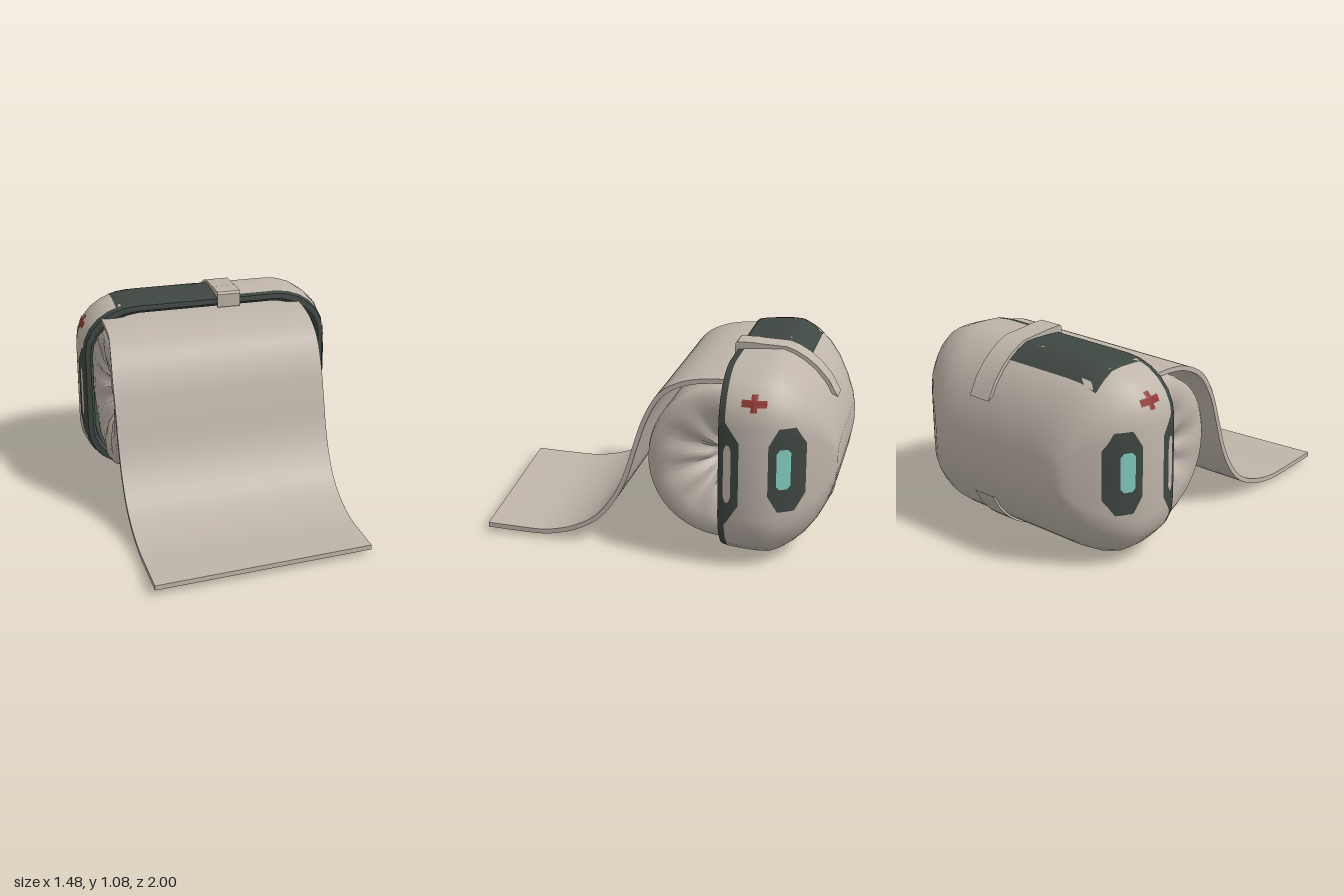
import * as THREE from 'three';
import { mergeVertices, toCreasedNormals } from 'three/addons/utils/BufferGeometryUtils.js';

const mat = (name, color, side = THREE.DoubleSide) => {
  const m = new THREE.MeshStandardMaterial({ color, side });
  m.name = name;
  return m;
};

const MID = 0.535; // height of the case's middle

// Rounded-rectangle section of the case at depth z
function ring(z, w, h) {
  const pts = [], rx = w * 0.42, ry = h * 0.52, N = 6;
  for (let q = 0; q < 4; q++) {
    const sx = q === 0 || q === 3 ? 1 : -1, sy = q < 2 ? 1 : -1;
    for (let i = 0; i <= N; i++) {
      const a = (q + i / N) * Math.PI / 2;
      pts.push([sx * (w - rx) + rx * Math.cos(a), MID + sy * (h - ry) + ry * Math.sin(a), z]);
    }
  }
  return pts;
}

// Skin over a list of [z, halfWidth, halfHeight] sections
function loft(sections, capStart, capEnd) {
  const rings = sections.map(s => ring(...s)), n = rings[0].length;
  const pos = rings.flat(2), idx = [];
  for (let r = 0; r < rings.length - 1; r++) {
    for (let i = 0; i < n; i++) {
      const a = r * n + i, b = r * n + (i + 1) % n;
      idx.push(a, a + n, b, b, a + n, b + n);
    }
  }
  const cap = (r, flip) => {
    const c = pos.length / 3;
    pos.push(0, MID, sections[r][0]);
    for (let i = 0; i < n; i++) {
      const a = r * n + i, b = r * n + (i + 1) % n;
      flip ? idx.push(c, b, a) : idx.push(c, a, b);
    }
  };
  if (capStart) cap(0, false);
  if (capEnd) cap(rings.length - 1, true);
  const g = new THREE.BufferGeometry();
  g.setAttribute('position', new THREE.Float32BufferAttribute(pos, 3));
  g.setIndex(idx);
  return toCreasedNormals(g, 0.6);
}

export function createModel() {
  const group = new THREE.Group();
  const cream = mat('warm grey', 0xbfb5aa);
  const dark = mat('dark green grey', 0x3f4742);
  const teal = mat('teal', 0x84cdbf);
  const red = mat('red', 0x8f3632);
  const add = (name, geo, material) => {
    const m = new THREE.Mesh(geo, material);
    m.name = name;
    group.add(m);
    return m;
  };

  // Case: rounded shell, with a dark lining and rim
  const outer = [
    [-0.455, 0.728, 0.509], [-0.53, 0.738, 0.514], [-0.6, 0.74, 0.518], [-0.67, 0.728, 0.52], [-0.72, 0.71, 0.502],
    [-0.78, 0.675, 0.468], [-0.84, 0.63, 0.42], [-0.9, 0.565, 0.35], [-0.95, 0.5, 0.26], [-0.985, 0.455, 0.16], [-1, 0.42, 0.08],
  ];
  const shell = add('caseShell', loft(outer, false, true), cream);
  const rim = add('caseRimAndLining', loft([
    [-0.8, 0.61, 0.4], [-0.7, 0.665, 0.455], [-0.46, 0.67, 0.455], [-0.425, 0.675, 0.46],
    [-0.415, 0.69, 0.475], [-0.42, 0.718, 0.503], [-0.455, 0.728, 0.509],
  ], true, false), dark);

  // Thin painted plates, laid on the case along one axis
  const ray = new THREE.Raycaster();
  group.updateMatrixWorld(true);
  function decal(name, axis, sign, outline, material, lift = 0.004) {
    const line = [], SUB = 6, RINGS = 6;
    outline.forEach((p, i) => {
      const q = outline[(i + 1) % outline.length];
      for (let k = 0; k < SUB; k++) line.push([p[0] + (q[0] - p[0]) * k / SUB, p[1] + (q[1] - p[1]) * k / SUB]);
    });
    const n = line.length;
    const c = [0, 1].map(j => line.reduce((s, p) => s + p[j], 0) / n);
    const dir = new THREE.Vector3(axis === 'x' ? -sign : 0, axis === 'y' ? -sign : 0, 0);
    const pos = [], idx = [];
    for (let r = 0; r <= RINGS; r++) {
      for (const p of line) {
        const u = c[0] + (p[0] - c[0]) * r / RINGS, v = c[1] + (p[1] - c[1]) * r / RINGS;
        const o = axis === 'x' ? new THREE.Vector3(sign * 3, u, v) : new THREE.Vector3(u, sign * 3, v);
        ray.set(o, dir);
        const hit = ray.intersectObjects([shell, rim])[0];
        const s = hit ? hit.point : o.setComponent(axis === 'x' ? 0 : 1, axis === 'x' ? sign * 0.7 : MID + sign * 0.5);
        s.addScaledVector(dir, -lift);
        pos.push(s.x, s.y, s.z);
      }
    }
    for (let r = 0; r < RINGS; r++) {
      for (let i = 0; i < n; i++) {
        const a = r * n + i, b = r * n + (i + 1) % n;
        idx.push(a, a + n, b, b, a + n, b + n);
      }
    }
    const g = new THREE.BufferGeometry();
    g.setAttribute('position', new THREE.Float32BufferAttribute(pos, 3));
    g.setIndex(idx);
    g.computeVertexNormals();
    add(name, g, material);
  }
  const rect = (u0, u1, v0, v1) => [[u0, v0], [u1, v0], [u1, v1], [u0, v1]];
  const chamfer = (u0, u1, v0, v1, cu, cv) => [
    [u0 + cu, v0], [u1 - cu, v0], [u1, v0 + cv], [u1, v1 - cv], [u1 - cu, v1], [u0 + cu, v1], [u0, v1 - cv], [u0, v0 + cv],
  ];
  const cross = (u, v, a, b, t) => [
    [-t, -b], [t, -b], [t, -t], [a, -t], [a, t], [t, t], [t, b], [-t, b], [-t, t], [-a, t], [-a, -t], [-t, -t],
  ].map(p => [u + p[0], v + p[1]]);

  for (const s of [1, -1]) {
    const side = s > 0 ? 'left' : 'right';
    decal(side + 'LampPanel', 'x', s, chamfer(0.33, 0.78, -0.86, -0.68, 0.09, 0.05), dark);
    decal(side + 'Lamp', 'x', s, chamfer(0.455, 0.67, -0.79, -0.722, 0.02, 0.015), teal, 0.009);
    decal(side + 'RimPanel', 'x', s, [[0.25, -0.425], [0.25, -0.46], [0.36, -0.53], [0.7, -0.53], [0.8, -0.46], [0.8, -0.425]], dark);
    decal(side + 'RimPanelInset', 'x', s, chamfer(0.375, 0.685, -0.49, -0.45, 0.03, 0.012), cream, 0.009);
    decal(side + 'RedCross', 'x', s, cross(0.905, -0.6, 0.042, 0.065, 0.017), red);
  }
  decal('topDarkPanel', 'y', 1, rect(-0.525, 0.07, -0.8, -0.43), dark);
  decal('undersideRedCross', 'y', -1, cross(0.35, -0.58, 0.065, 0.05, 0.02), red);

  // Clips: straps over the rim, following the case above and below
  for (const s of [1, -1]) {
    const lift = s > 0 ? 0.024 : 0.014, top = s > 0 ? 0.545 : 0.535;
    const over = [[0.405, top - 0.012], [0.415, top], [0.52, top], [0.535, 0.518 + lift]];
    for (const [z, , h] of outer.slice(3, 9)) over.push([-z + lift * 0.6, h + lift * 0.6]);
    const under = [[0.9, 0.31], [0.75, 0.45], [0.6, 0.49], [0.42, 0.49], [0.42, 0.455], [0.405, 0.455]];
    const shape = new THREE.Shape([...over, ...under].map(p => new THREE.Vector2(p[0], MID + s * p[1])));
    const g = new THREE.ExtrudeGeometry(shape, { depth: 0.135, bevelEnabled: false });
    g.rotateY(Math.PI / 2).translate(0.065, 0, 0);
    add(s > 0 ? 'topClip' : 'bottomClip', toCreasedNormals(g, 0.6), cream);
  }

  // Bandage roll: puckered ends and an open core
  const rollProfile = [
    [0.06, -0.46], [0.1, -0.52], [0.19, -0.585], [0.3, -0.615], [0.38, -0.615], [0.415, -0.59], [0.425, -0.55],
    [0.425, 0.5], [0.415, 0.545], [0.38, 0.57], [0.3, 0.565], [0.19, 0.53], [0.1, 0.46], [0.06, 0.4], [0.06, -0.46],
  ].map(p => new THREE.Vector2(...p));
  let roll = new THREE.LatheGeometry(rollProfile, 48);
  roll.rotateZ(-Math.PI / 2);
  const rp = roll.attributes.position;
  for (let i = 0; i < rp.count; i++) {
    const y = rp.getY(i), z = rp.getZ(i), r = Math.hypot(y, z);
    const fold = r > 0.08 && r < 0.33 ? 0.022 * Math.sin(9 * Math.atan2(y, z)) * (0.35 - r) / 0.25 : 0;
    rp.setXYZ(i, rp.getX(i) + fold, y + 0.515, Math.max(z - 0.425, -0.79));
  }
  roll.deleteAttribute('uv');
  roll.deleteAttribute('normal');
  roll = toCreasedNormals(mergeVertices(roll, 1e-4), 0.9);
  add('bandageRoll', roll, cream);

  // Unrolled bandage strip with a slanted free end
  const path = new THREE.CatmullRomCurve3([
    [-0.5, 0.965], [-0.32, 0.962], [-0.19, 0.935], [-0.08, 0.87], [0, 0.74], [0.06, 0.57], [0.115, 0.4],
    [0.18, 0.27], [0.28, 0.15], [0.42, 0.075], [0.6, 0.035], [0.8, 0.036], [1, 0.043],
  ].map(p => new THREE.Vector3(-p[0], p[1], 0)));
  const upper = [], lower = [];
  for (let i = 0; i <= 44; i++) {
    const p = path.getPoint(i / 44), t = path.getTangent(i / 44);
    upper.push(new THREE.Vector2(p.x + t.y * 0.013, p.y - t.x * 0.013));
    lower.unshift(new THREE.Vector2(p.x - t.y * 0.013, p.y + t.x * 0.013));
  }
  const strip = new THREE.ExtrudeGeometry(new THREE.Shape([...upper, ...lower]), { depth: 1.205, bevelEnabled: false });
  strip.rotateY(Math.PI / 2).translate(-0.642, 0, 0);
  const sp = strip.attributes.position;
  for (let i = 0; i < sp.count; i++) {
    const z = sp.getZ(i), x = sp.getX(i);
    if (z > 0) sp.setZ(i, z - 0.1 * z * z * (x + 0.642) / 1.205);
    else if (x < 0) sp.setX(i, x + Math.min(0.025, -z * 0.12));
  }
  add('bandageStrip', toCreasedNormals(strip, 0.6), cream);

  return group;
}
